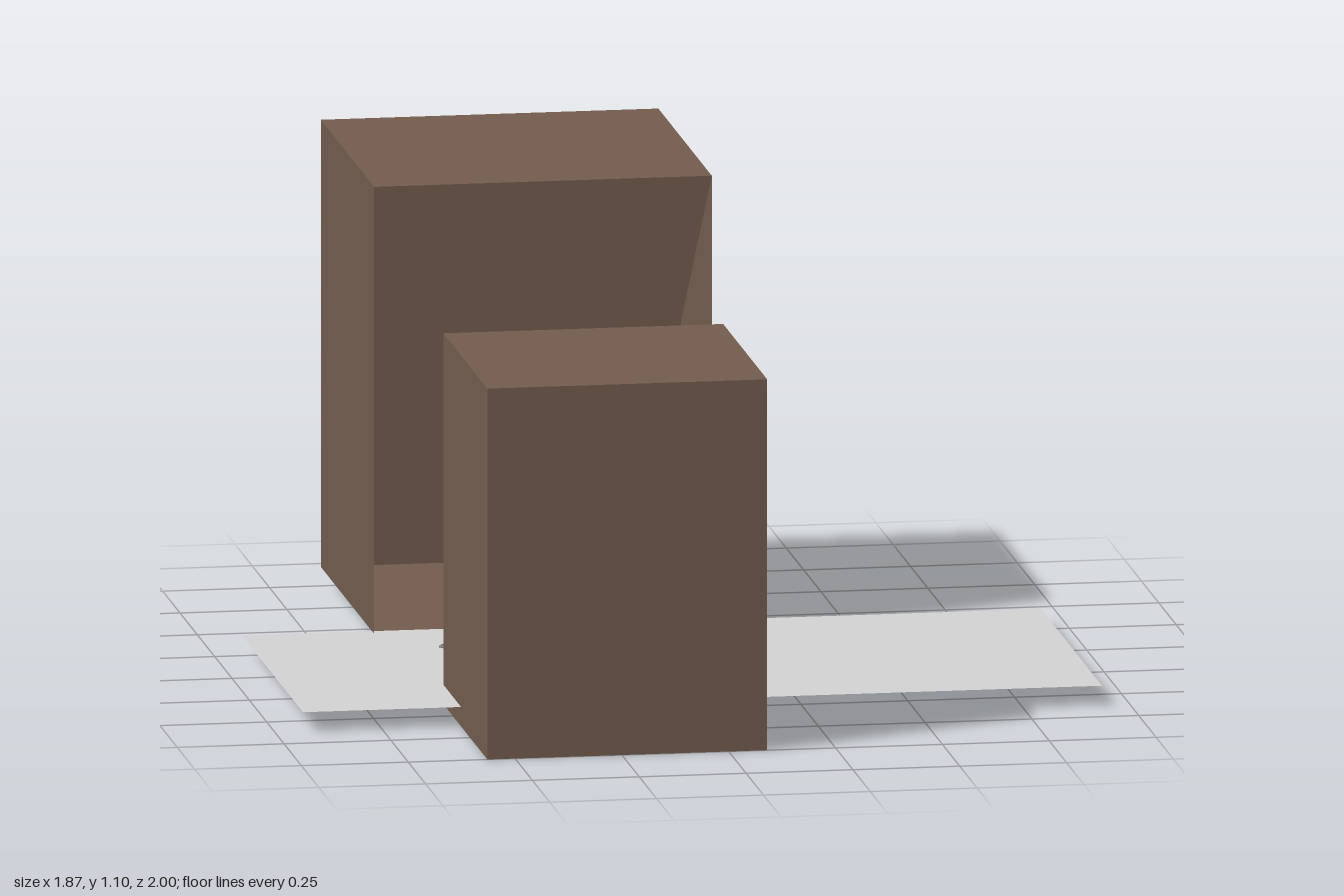
import * as THREE from 'three';

const mat = (name, color, extra = {}) => new THREE.MeshStandardMaterial({ name, color, ...extra });

export function createModel() {
  const model = new THREE.Group();
  const brown = mat('brownWall', 0x725c4e, { side: THREE.DoubleSide });
  const paving = mat('paleGrey', 0xd2d2d2, { side: THREE.DoubleSide });
  const foliage = mat('paleFoliage', 0xd6d6d6, { flatShading: true });
  const bark = mat('darkBark', 0x5c4636);
  const kerb = mat('greyKerb', 0x8c8c8c);

  const add = (name, geometry, material, x = 0, y = 0, z = 0, parent = model) => {
    const mesh = new THREE.Mesh(geometry, material);
    mesh.name = name;
    mesh.position.set(x, y, z);
    parent.add(mesh);
    return mesh;
  };

  // Hollow block with one side left out (box side order: +x -x +y -y +z -z)
  // and a partial wall, given as x,y points, in its place
  const building = (name, [x0, x1], [y0, y1], [z0, z1], openSide, wallZ, wall) => {
    const group = new THREE.Group();
    group.name = name;
    model.add(group);
    const shell = new THREE.BoxGeometry(x1 - x0, y1 - y0, z1 - z0);
    const index = Array.from(shell.index.array);
    index.splice(openSide * 6, 6);
    shell.setIndex(index);
    shell.clearGroups();
    add(name + 'Shell', shell, brown, (x0 + x1) / 2, (y0 + y1) / 2, (z0 + z1) / 2, group);
    const shape = new THREE.Shape(wall.map(([x, y]) => new THREE.Vector2(x, y)));
    const face = new THREE.ShapeGeometry(shape);
    // The wall of the front block faces backwards
    if (openSide === 5) {
      const order = Array.from(face.index.array).reverse();
      face.setIndex(order);
      face.computeVertexNormals();
    }
    add(name + 'CutWall', face, brown, 0, 0, wallZ, group);
  };

  building('tallBlock', [-0.63, 0.16], [0.045, 1.1], [-1, -0.23], 4, -0.23,
    [[-0.63, 1.1], [-0.41, 0.15], [-0.41, 0.045], [-0.04, 0.045], [-0.04, 0.15], [0.16, 1.1]]);
  building('shortBlock', [-0.565, 0.09], [0, 0.875], [0.365, 1], 5, 0.365,
    [[0.09, 0.875], [-0.565, 0.875], [-0.565, 0], [-0.54, 0.01]]);

  // Low pale plinth inside the tall block
  add('entrancePlinth', new THREE.BoxGeometry(0.37, 0.1, 0.325), paving, -0.225, 0.098, -0.395);

  // Paved ground sheet
  const ground = new THREE.PlaneGeometry(1.87, 0.88).rotateX(-Math.PI / 2);
  add('groundSheet', ground, paving, 0, 0.046, 0.182);

  // Lumpy low-poly ball
  const crownGeometry = new THREE.IcosahedronGeometry(1, 1);
  const p = crownGeometry.attributes.position;
  for (let i = 0; i < p.count; i++) {
    const x = p.getX(i), y = p.getY(i), z = p.getZ(i);
    const s = 1 + 0.06 * Math.sin(7 * x + 5 * y + 9 * z);
    p.setXYZ(i, x * s, y * s, z * s);
  }
  crownGeometry.computeVertexNormals();

  // Two oval planting beds, each with two trees and a long low shrub
  const beds = [
    { z: -0.04, rx: 0.295, rz: 0.062, crownZ: 0.054, shrubZ: 0.026 },
    { z: 0.192, rx: 0.288, rz: 0.047, crownZ: 0.042, shrubZ: 0.019 },
  ];
  for (const b of beds) {
    const bed = new THREE.Group();
    bed.name = 'plantingBed';
    bed.position.set(-0.212, 0, b.z);
    model.add(bed);
    const oval = [];
    for (let i = 0; i < 32; i++) {
      const a = (i / 32) * Math.PI * 2;
      oval.push(new THREE.Vector3(Math.cos(a) * b.rx, 0, Math.sin(a) * b.rz));
    }
    const path = new THREE.CatmullRomCurve3(oval, true);
    add('ovalKerb', new THREE.TubeGeometry(path, 64, 0.003, 5, true), kerb, 0, 0.051, 0, bed);
    for (const side of [-1, 1]) {
      add('treeTrunk', new THREE.CylinderGeometry(0.006, 0.009, 0.12, 8), bark, side * 0.147, 0.085, 0, bed);
      add('treeCrown', crownGeometry, foliage, side * 0.147, 0.176, 0, bed)
        .scale.set(0.056, 0.052, b.crownZ);
    }
    add('lowShrub', crownGeometry, foliage, 0, 0.066, 0, bed).scale.set(0.085, 0.026, b.shrubZ);
    add('shrubStem', new THREE.CylinderGeometry(0.006, 0.008, 0.04, 8), bark, 0, 0.045, 0, bed);
  }

  // Small upright marker beside the tall block
  add('marker', new THREE.BoxGeometry(0.02, 0.048, 0.004), kerb, -0.405, 0.069, -0.155);

  return model;
}
